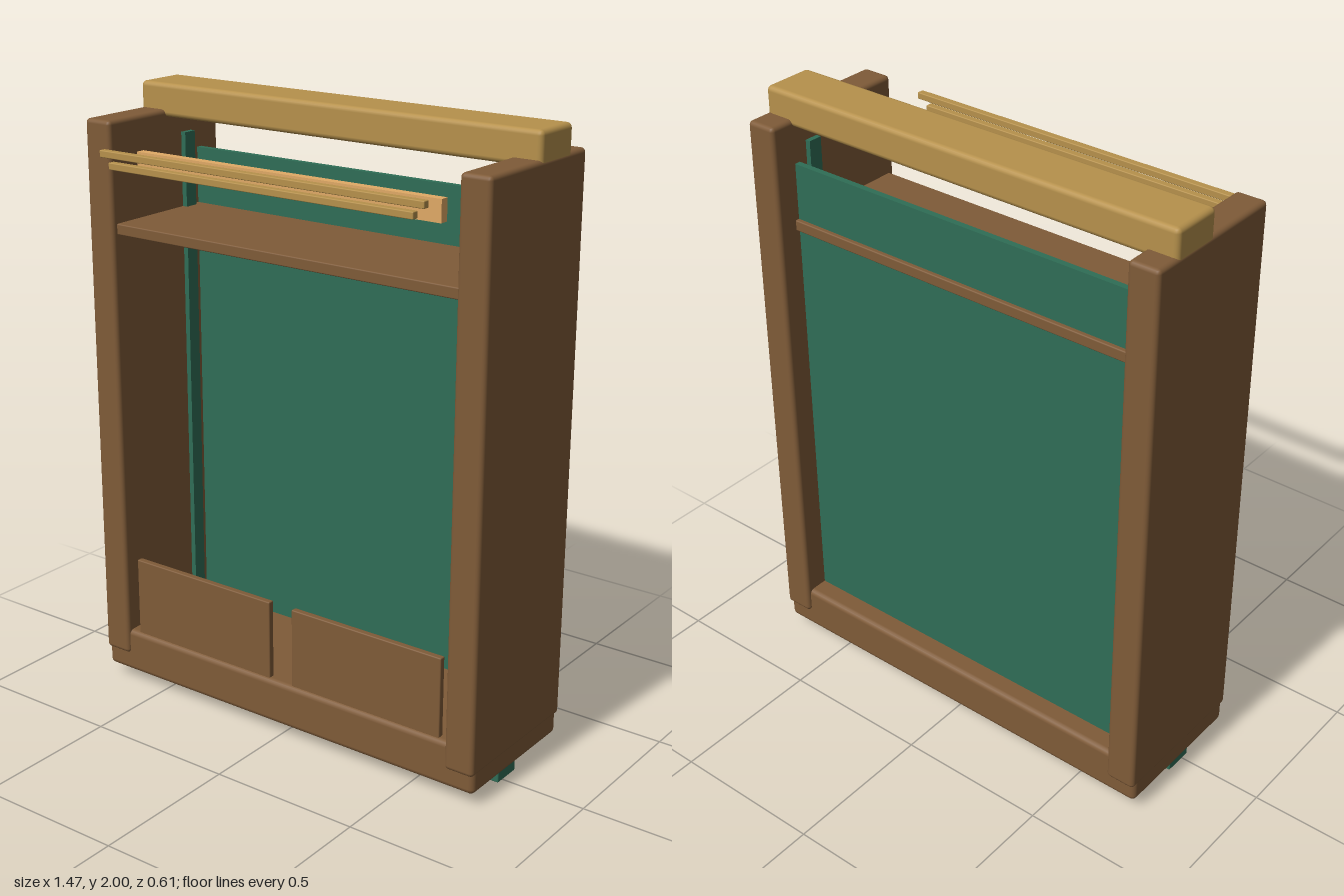
import * as THREE from 'three';
import { RoundedBoxGeometry } from 'three/addons/geometries/RoundedBoxGeometry.js';

const material = (name, color) => {
  const m = new THREE.MeshStandardMaterial({ color });
  m.name = name;
  return m;
};

export function createModel() {
  const model = new THREE.Group();
  const wood = material('brown wood', 0x7f5b38);
  const green = material('green', 0x2f6d56);
  const brass = material('dull gold', 0xb6914c);
  const tan = material('light tan', 0xe0aa66);

  // Box given by its lower and upper limits, with optionally rounded edges
  const box = (name, mat, [x0, x1], [y0, y1], [z0, z1], radius = 0) => {
    const w = x1 - x0, h = y1 - y0, d = z1 - z0;
    const geometry = radius
      ? new RoundedBoxGeometry(w, h, d, 2, radius)
      : new THREE.BoxGeometry(w, h, d);
    const mesh = new THREE.Mesh(geometry, mat);
    mesh.name = name;
    mesh.position.set((x0 + x1) / 2, (y0 + y1) / 2, (z0 + z1) / 2);
    model.add(mesh);
  };

  // Cabinet frame
  box('base', wood, [-0.734, 0.734], [0.04, 0.19], [-0.293, 0.2], 0.018);
  box('topBar', brass, [-0.735, 0.735], [1.893, 2], [-0.224, -0.05], 0.016);
  box('backPanel', green, [-0.635, 0.635], [0.18, 1.775], [-0.222, -0.202]);
  box('shelf', wood, [-0.64, 0.64], [1.557, 1.592], [-0.236, 0.19], 0.004);

  // Sides, inner runners, feet and lower front panels, mirrored
  for (const s of [-1, 1]) {
    const side = s > 0 ? 'left' : 'right';
    const span = (a, b) => (s > 0 ? [a, b] : [-b, -a]);
    box(side + 'Side', wood, span(0.635, 0.736), [0.105, 1.916], [-0.306, 0.21], 0.014);
    box(side + 'Runner', green, span(0.618, 0.64), [0.18, 1.835], [-0.172, -0.125]);
    box(side + 'Foot', green, span(0.074, 0.719), [0, 0.038], [-0.072, 0.028], 0.004);
    box(side + 'FrontPanel', wood, span(0.044, 0.602), [0.185, 0.454], [0.166, 0.188], 0.004);
  }

  // Rod beneath the shelf
  const rod = new THREE.Mesh(new THREE.CylinderGeometry(0.017, 0.017, 1.28, 16), brass);
  rod.name = 'shelfRod';
  rod.rotation.z = Math.PI / 2;
  rod.position.set(0, 1.537, 0);
  model.add(rod);

  // Slat above the shelf and two thin rails in front
  box('slat', tan, [-0.557, 0.557], [1.758, 1.826], [0.143, 0.172]);
  box('upperRail', brass, [-0.588, 0.588], [1.826, 1.848], [0.282, 0.306], 0.003);
  box('lowerRail', brass, [-0.553, 0.553], [1.792, 1.814], [0.282, 0.306], 0.003);

  return model;
}
